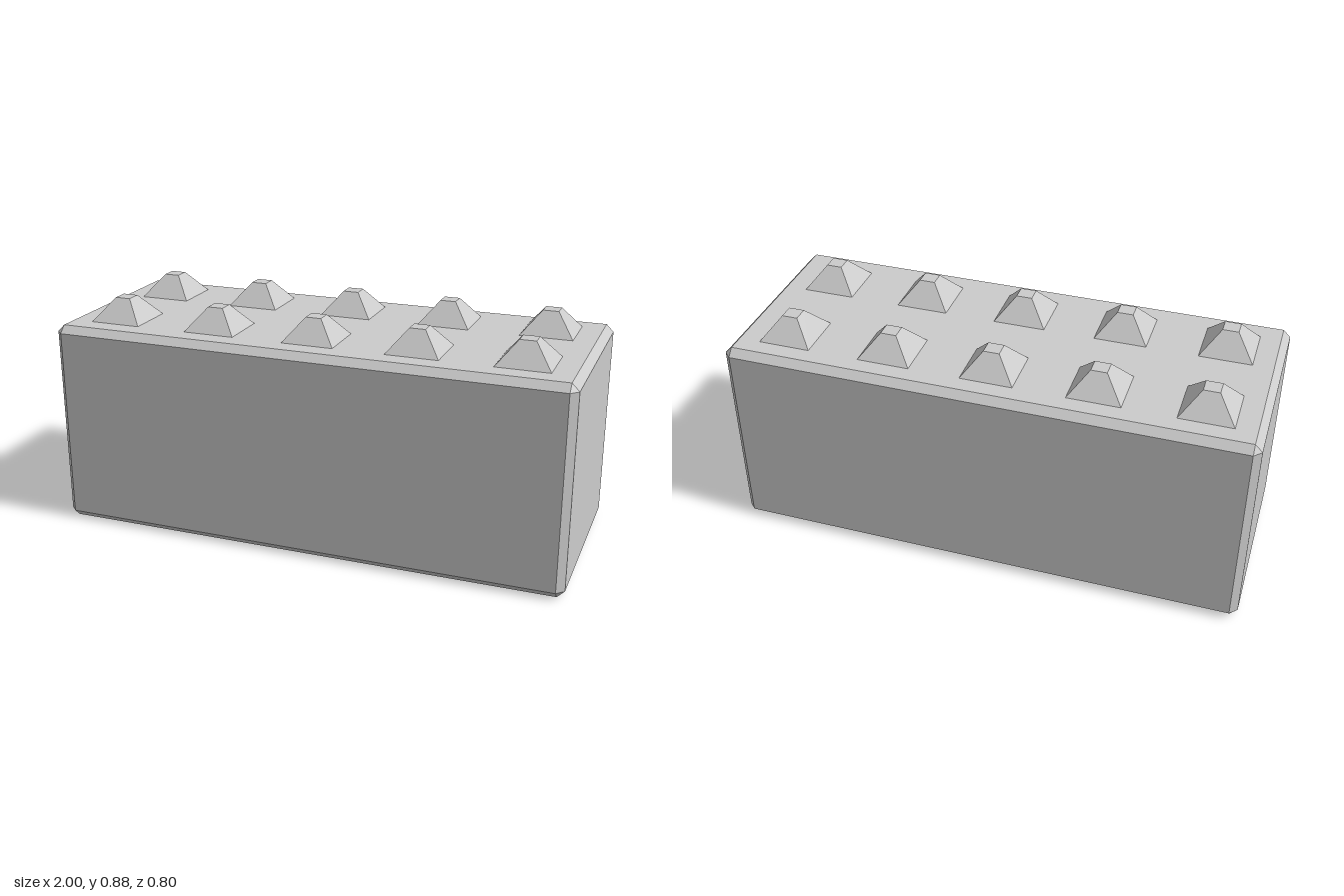
import * as THREE from 'three';
import { ConvexGeometry } from 'three/addons/geometries/ConvexGeometry.js';

const material = new THREE.MeshStandardMaterial({ color: 0xcccccc, flatShading: true });

// Box with flat 45 degree chamfers: each corner becomes three points
function chamferedBox(width, height, depth, chamfer) {
  const half = [width / 2, height / 2, depth / 2];
  const points = [];
  for (const sx of [-1, 1]) for (const sy of [-1, 1]) for (const sz of [-1, 1]) {
    for (let outer = 0; outer < 3; outer++) {
      const c = half.map((h, axis) => (axis === outer ? h : h - chamfer));
      points.push(new THREE.Vector3(sx * c[0], sy * c[1], sz * c[2]));
    }
  }
  return new ConvexGeometry(points);
}

export function createModel() {
  const model = new THREE.Group();
  model.name = 'studdedBlock';

  // Main block
  const height = 0.798;
  const block = new THREE.Mesh(chamferedBox(2, height, 0.798, 0.028), material);
  block.name = 'block';
  block.position.y = height / 2;
  model.add(block);

  // Two rows of five truncated pyramids on the top face
  const studHeight = 0.086;
  const studGeometry = new THREE.CylinderGeometry(0.03 * Math.SQRT2, 0.1 * Math.SQRT2, studHeight, 4);
  studGeometry.rotateY(Math.PI / 4);
  const studs = new THREE.Group();
  studs.name = 'studs';
  for (let row = 0; row < 2; row++) {
    for (let i = 0; i < 5; i++) {
      const stud = new THREE.Mesh(studGeometry, material);
      stud.name = 'stud';
      stud.position.set((i - 2) * 0.396 - 0.002, height + studHeight / 2, row ? 0.196 : -0.205);
      studs.add(stud);
    }
  }
  model.add(studs);
  return model;
}
